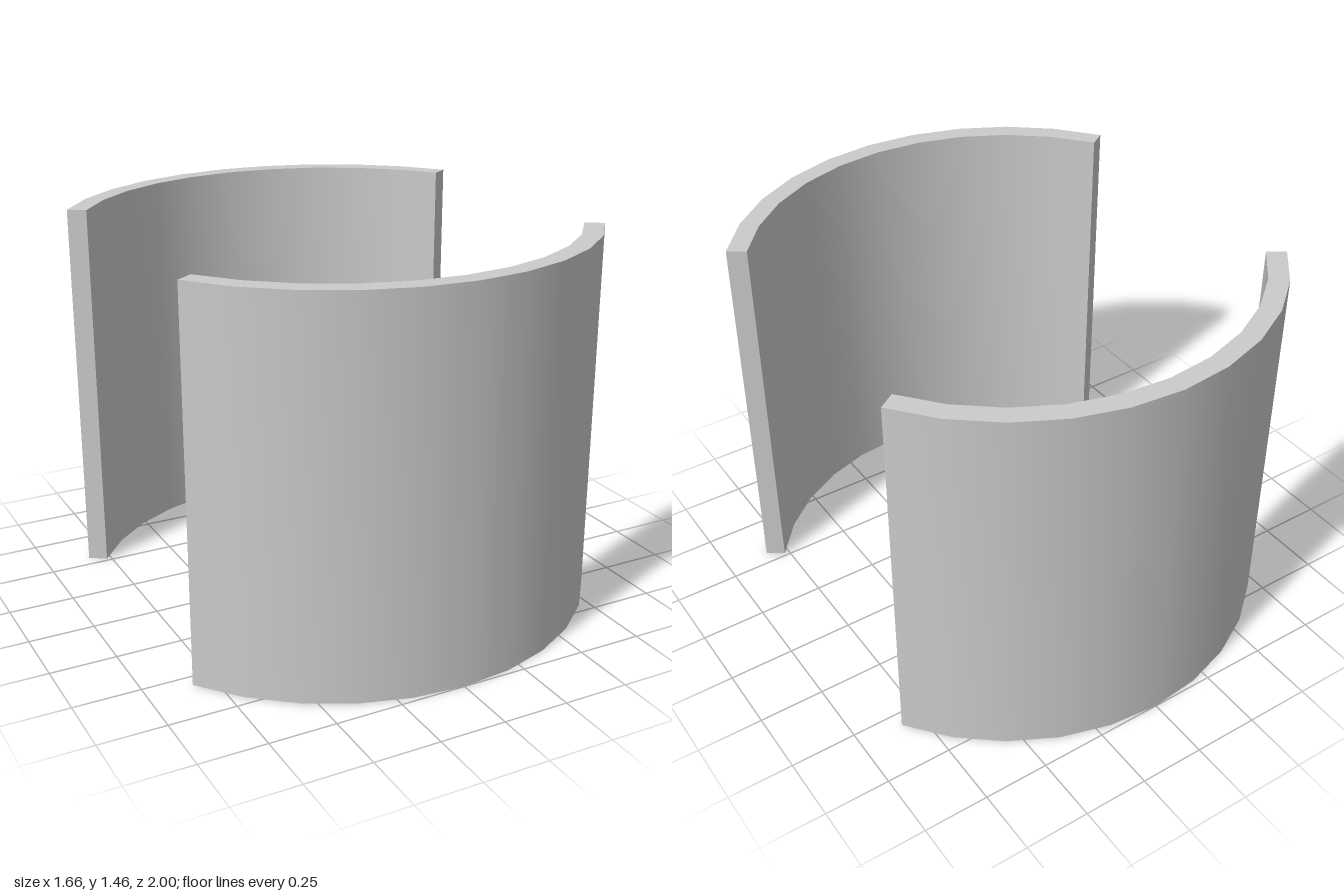
import * as THREE from 'three';
import { toCreasedNormals } from 'three/addons/utils/BufferGeometryUtils.js';

const OUTER = 1;
const INNER = 0.925;
const HEIGHT = 1.455;
const STEP = Math.PI / 16; // one facet of a 32-sided ring
const FACETS = 10;

// Curved wall: a ring sector in plan, extruded upwards
function wallGeometry() {
  const half = (STEP * FACETS) / 2;
  const mid = -Math.PI / 2;
  const plan = new THREE.Shape();
  plan.absarc(0, 0, OUTER, mid - half, mid + half, false);
  plan.absarc(0, 0, INNER, mid + half, mid - half, true);
  plan.closePath();
  const geometry = new THREE.ExtrudeGeometry(plan, {
    depth: HEIGHT,
    bevelEnabled: false,
    curveSegments: FACETS / 2, // arcs are sampled at twice this count
  });
  geometry.rotateX(-Math.PI / 2);
  return toCreasedNormals(geometry, 0.5);
}

export function createModel() {
  const model = new THREE.Group();
  model.name = 'curvedWallPair';
  const material = new THREE.MeshStandardMaterial({ color: 0xcccccc });
  const geometry = wallGeometry();

  // Two identical walls facing each other
  ['frontWall', 'backWall'].forEach((name, i) => {
    const wall = new THREE.Mesh(geometry, material);
    wall.name = name;
    wall.rotation.y = i * Math.PI;
    model.add(wall);
  });
  return model;
}
